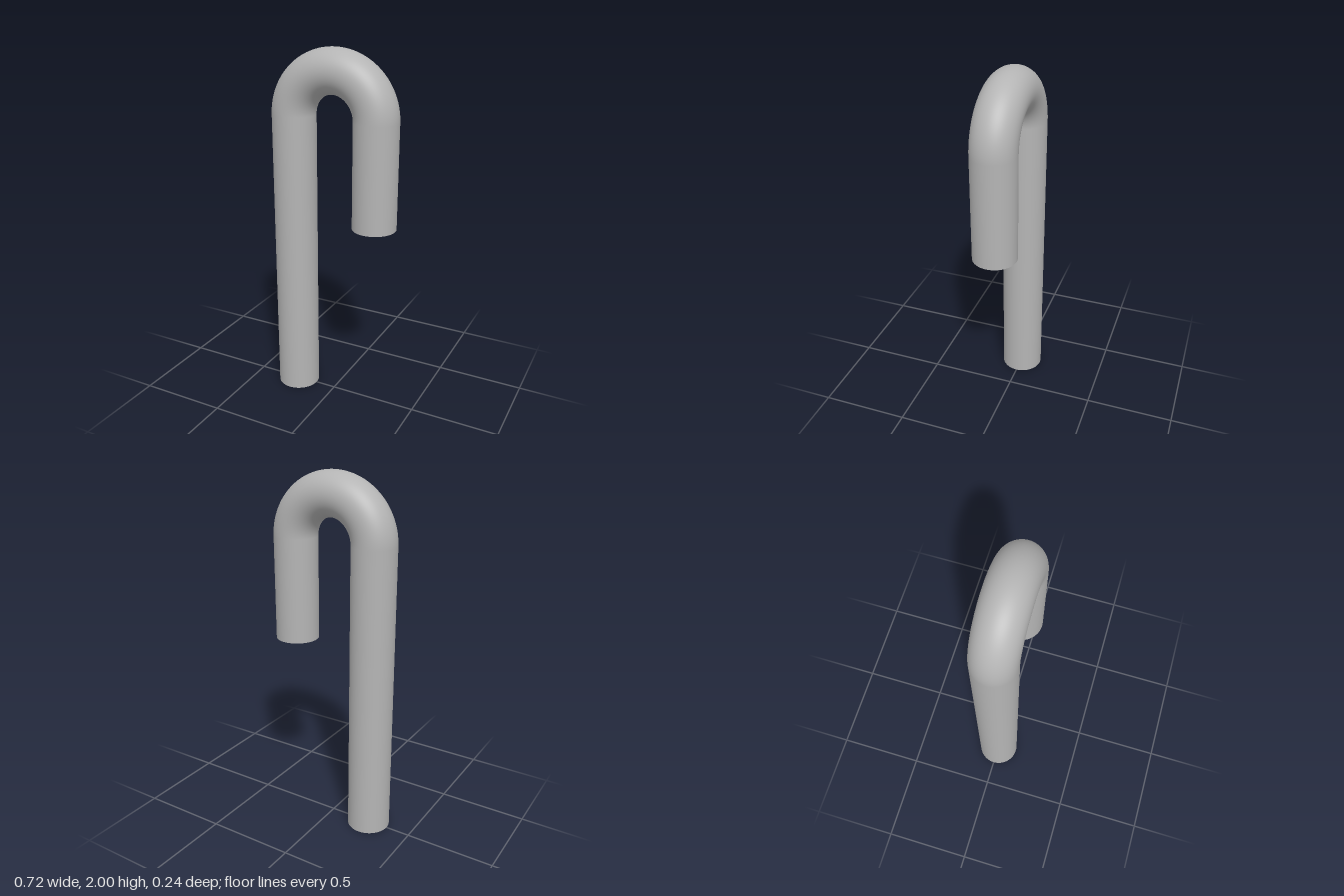
import * as THREE from 'three';

const OUTER = 0.12;    // pipe outer radius
const INNER = 0.098;   // pipe bore radius
const BEND = 0.24;     // centreline radius of the bend
const BEND_Y = 1.64;   // height where the bend starts
const SIDES = 64;

export function createModel() {
  const group = new THREE.Group();
  group.name = 'hookedPipe';
  const grey = new THREE.MeshStandardMaterial({ color: 0xb4b4b4, side: THREE.DoubleSide });
  grey.name = 'pipe grey';

  const add = (parent, name, geometry, x = 0, y = 0) => {
    const mesh = new THREE.Mesh(geometry, grey);
    mesh.name = name;
    mesh.position.set(x, y, 0);
    parent.add(mesh);
  };

  // Straight hollow leg with a flat annular rim at its open lower end
  const addLeg = (name, x, bottom) => {
    const leg = new THREE.Group();
    leg.name = name;
    const length = BEND_Y - bottom;
    for (const [part, r] of [['outerWall', OUTER], ['innerWall', INNER]]) {
      add(leg, part, new THREE.CylinderGeometry(r, r, length, SIDES, 1, true), x, bottom + length / 2);
    }
    add(leg, 'rim', new THREE.RingGeometry(INNER, OUTER, SIDES).rotateX(Math.PI / 2), x, bottom);
    group.add(leg);
  };
  addLeg('longLeg', -BEND, 0);
  addLeg('shortLeg', BEND, 1.065);

  // Half-turn bend joining the legs
  const bend = new THREE.Group();
  bend.name = 'bend';
  for (const [part, r] of [['outerWall', OUTER], ['innerWall', INNER]]) {
    add(bend, part, new THREE.TorusGeometry(BEND, r, SIDES, 64, Math.PI), 0, BEND_Y);
  }
  group.add(bend);

  return group;
}
